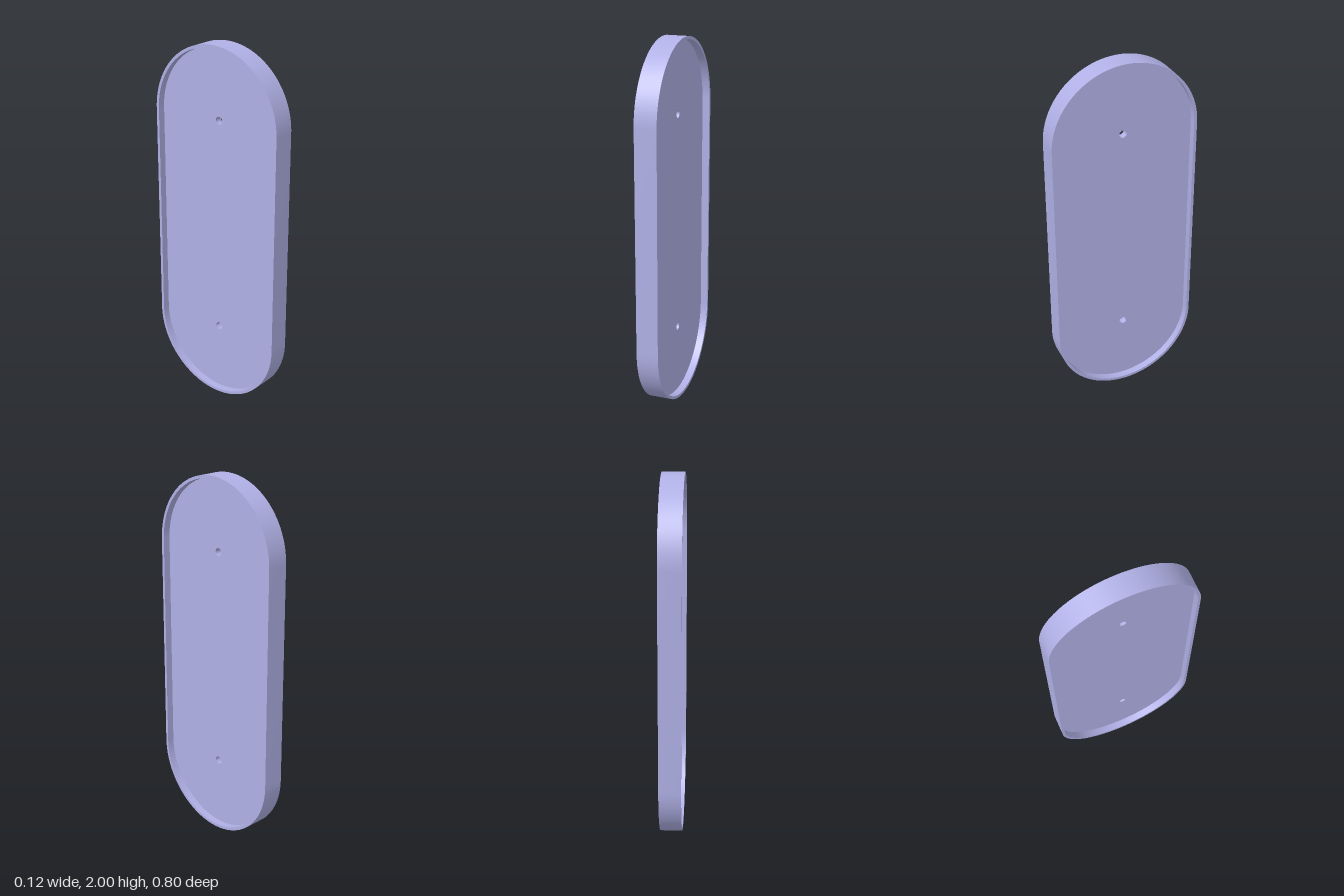
import * as THREE from 'three';
import { toCreasedNormals } from 'three/addons/utils/BufferGeometryUtils.js';

const R = 0.4;          // outer end radius
const WALL = 0.016;     // rim wall thickness
const LOW = 0.4, HIGH = 1.6; // centres of the round ends
const RIM_DEPTH = 0.12, PANEL_DEPTH = 0.04;

// Upright stadium outline of the given end radius
function stadium(r, Type = THREE.Shape) {
  const s = new Type();
  s.moveTo(r, LOW);
  s.lineTo(r, HIGH);
  s.absarc(0, HIGH, r, 0, Math.PI, false);
  s.lineTo(-r, LOW);
  s.absarc(0, LOW, r, Math.PI, Math.PI * 2, false);
  return s;
}

// Extrude centred on x = 0, with the outline lying in the y-z plane
function slab(name, shape, depth, material) {
  const geo = new THREE.ExtrudeGeometry(shape, { depth, bevelEnabled: false, curveSegments: 48 });
  geo.translate(0, 0, -depth / 2);
  geo.rotateY(Math.PI / 2);
  const mesh = new THREE.Mesh(toCreasedNormals(geo, 0.6), material);
  mesh.name = name;
  return mesh;
}

export function createModel() {
  const group = new THREE.Group();
  group.name = 'recessedPlate';
  const material = new THREE.MeshStandardMaterial({ color: 0xb0b0e6 });

  // Thin raised rim, standing proud on both sides
  const rim = stadium(R);
  rim.holes.push(stadium(R - WALL, THREE.Path));
  group.add(slab('rim', rim, RIM_DEPTH, material));

  // Central panel with two screw holes, let into the rim wall
  const panel = stadium(R - WALL / 2);
  for (const y of [LOW, HIGH]) {
    panel.holes.push(new THREE.Path().absarc(0, y, 0.021, 0, Math.PI * 2, true));
  }
  group.add(slab('panel', panel, PANEL_DEPTH, material));

  return group;
}
